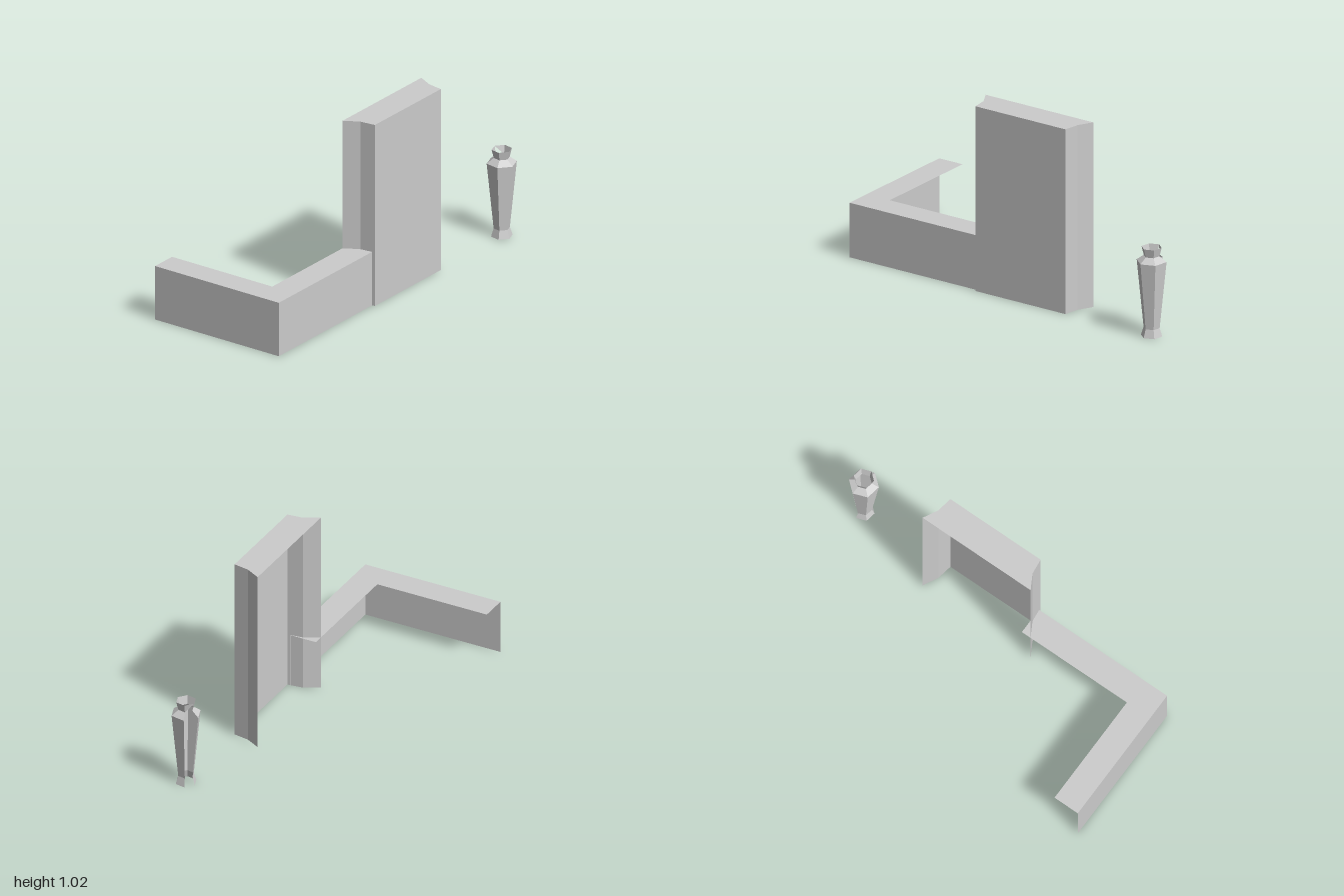
import * as THREE from 'three';

const grey = new THREE.MeshStandardMaterial({ color: 0xcccccc, side: THREE.DoubleSide, flatShading: true });
grey.name = 'plain grey';

function addMesh(parent, name, geometry) {
  const mesh = new THREE.Mesh(geometry, grey);
  mesh.name = name;
  parent.add(mesh);
}

// upright faces along a path of [x, z] points
function wallStrip(path, height) {
  const pos = [];
  for (let i = 0; i < path.length - 1; i++) {
    const [ax, az] = path[i], [bx, bz] = path[i + 1];
    pos.push(ax, 0, az, bx, 0, bz, bx, height, bz);
    pos.push(ax, 0, az, bx, height, bz, ax, height, az);
  }
  const g = new THREE.BufferGeometry();
  g.setAttribute('position', new THREE.Float32BufferAttribute(pos, 3));
  g.computeVertexNormals();
  return g;
}

// flat lid over an [x, z] outline
function lid(outline, height) {
  const shape = new THREE.Shape(outline.map(([x, z]) => new THREE.Vector2(x, -z)));
  return new THREE.ShapeGeometry(shape).rotateX(-Math.PI / 2).translate(0, height, 0);
}

export function createModel() {
  const model = new THREE.Group();
  model.name = 'wallPanelAndVase';

  // low L-shaped wall, open at the back and below
  const lowWall = new THREE.Group();
  lowWall.name = 'lowWall';
  const outer = [[-1, -0.44], [-1, 0.35], [-0.19, 0.35]];
  addMesh(lowWall, 'lowWallFaces', wallStrip(outer, 0.3));
  addMesh(lowWall, 'lowWallTop', lid([...outer, [-0.19, 0.2], [-0.853, 0.2], [-0.853, -0.44]], 0.3));
  model.add(lowWall);

  // tall panel with flared sides, open at the back and below
  const panel = new THREE.Group();
  panel.name = 'tallPanel';
  const profile = [[-0.245, 0.2], [-0.2, 0.28], [-0.19, 0.366], [0.38, 0.366], [0.395, 0.28], [0.437, 0.2]];
  addMesh(panel, 'panelFaces', wallStrip(profile, 1.016));
  addMesh(panel, 'panelTop', lid(profile, 1.016));
  model.add(panel);

  // six-sided vase, one side broken away
  const vase = new THREE.Group();
  vase.name = 'vase';
  const rings = [[0.057, 0], [0.043, 0.045], [0.08, 0.412], [0.042, 0.44], [0.054, 0.487]];
  const deg = THREE.MathUtils.degToRad;
  addMesh(vase, 'vaseBody', new THREE.LatheGeometry(
    rings.map(([r, y]) => new THREE.Vector2(r, y)), 5, deg(-190), deg(300)));

  // remaining shard of the neck on the broken side
  const at = ([r, y], a) => new THREE.Vector3(r * Math.cos(deg(a)), y, r * Math.sin(deg(a)));
  const shard = new THREE.BufferGeometry().setFromPoints([at(rings[3], -20), at(rings[4], -80), at(rings[4], -20)]);
  shard.computeVertexNormals();
  addMesh(vase, 'neckShard', shard);
  vase.position.set(0.92, 0, 0.357);
  model.add(vase);

  return model;
}
